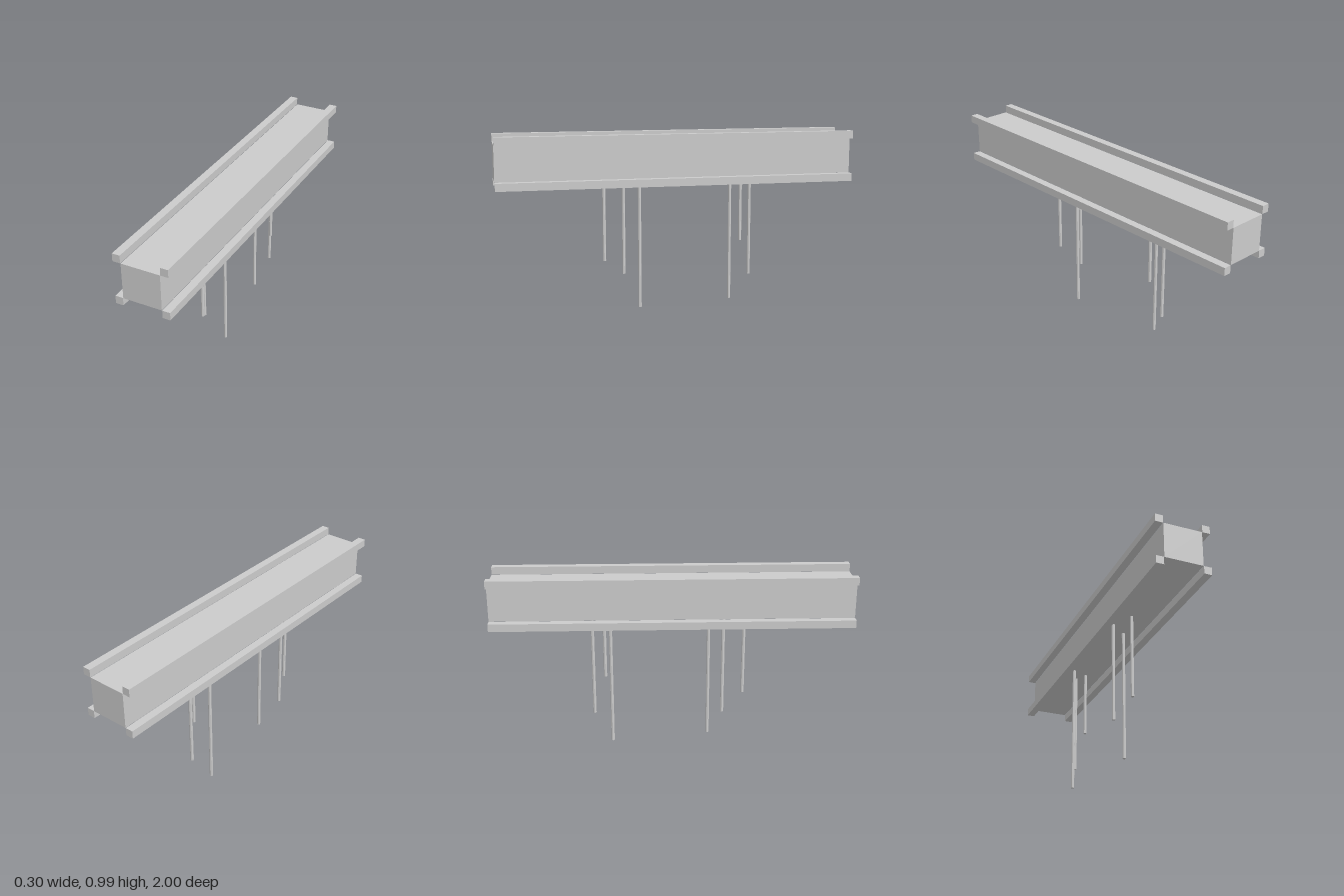
import * as THREE from 'three';

export function createModel() {
  const model = new THREE.Group();
  const grey = new THREE.MeshStandardMaterial({ color: 0xcccccc, flatShading: true });

  const add = (name, geometry, x, y, z) => {
    const mesh = new THREE.Mesh(geometry, grey);
    mesh.name = name;
    mesh.position.set(x, y, z);
    model.add(mesh);
  };

  // Long central beam
  const bottom = 0.746, top = 0.945, length = 2;
  add('beam', new THREE.BoxGeometry(0.214, top - bottom, length), 0, (top + bottom) / 2, 0);

  // Square rails running along the four long edges
  const rail = 0.043;
  const railGeometry = new THREE.BoxGeometry(rail, rail, length);
  for (const [side, sx] of [['left', 1], ['right', -1]]) {
    add(side + 'UpperRail', railGeometry, sx * 0.1305, top + rail / 2, 0);
    add(side + 'LowerRail', railGeometry, sx * 0.1305, bottom - rail / 2, 0);
  }

  // Thin hanging rods of uneven length: x, z, height of the lower end
  const rods = [
    [-0.018, 0.4, 0.27],
    [-0.075, 0.28, 0.177],
    [0.017, 0.205, 0],
    [-0.07, -0.343, 0],
    [0.016, -0.38, 0.363],
    [-0.02, -0.445, 0.153],
  ];
  rods.forEach(([x, z, low], i) => {
    const height = bottom - low;
    add('rod' + (i + 1), new THREE.CylinderGeometry(0.0095, 0.0095, height, 8), x, low + height / 2, z);
  });

  return model;
}
